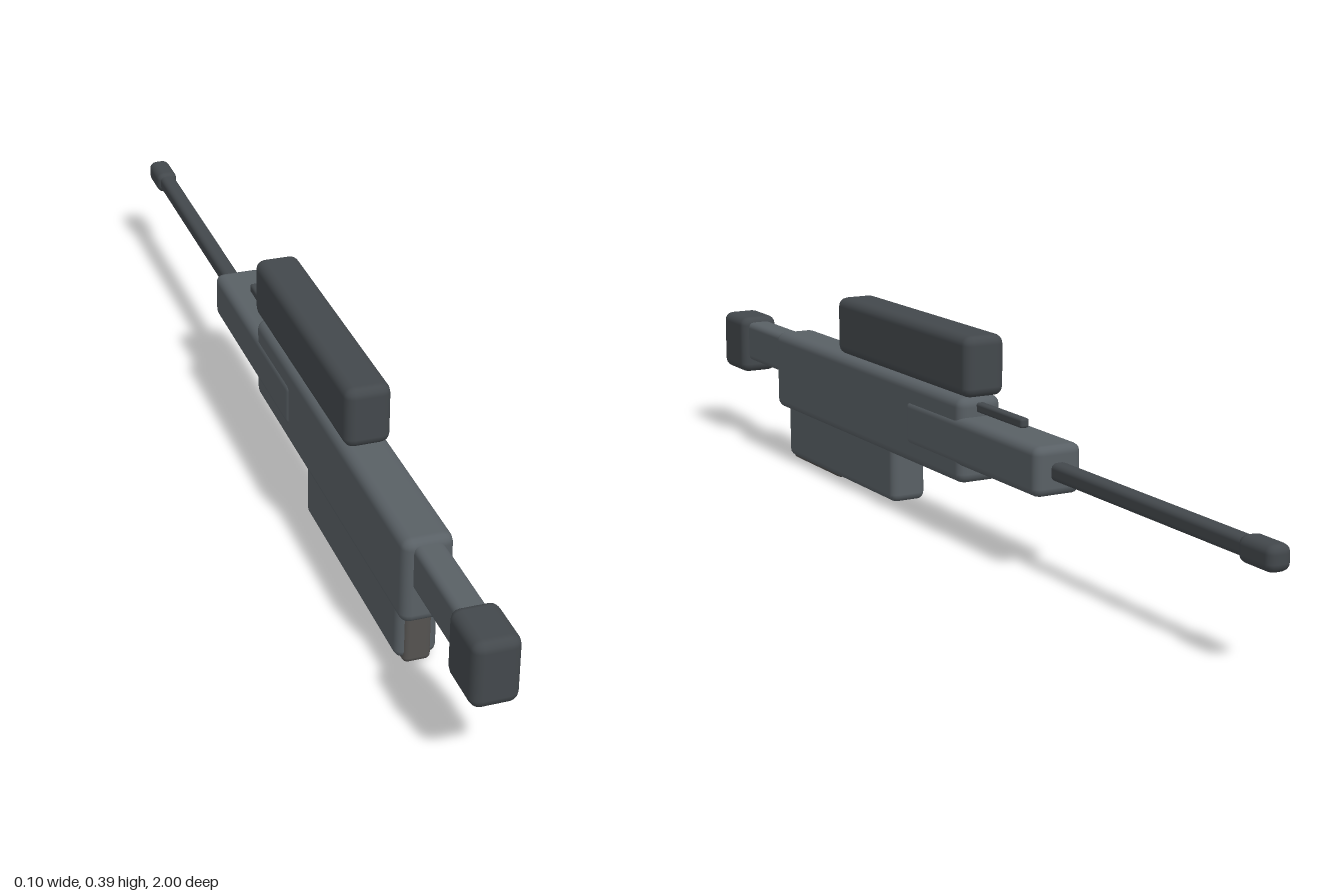
import * as THREE from 'three';
import { RoundedBoxGeometry } from 'three/addons/geometries/RoundedBoxGeometry.js';

const paint = (color) => new THREE.MeshStandardMaterial({ color });

export function createModel() {
  const model = new THREE.Group();
  const steel = paint(0x596065);
  const dark = paint(0x43484c);
  const brown = paint(0x545250);

  // Bevelled block given by half width and its y and z ranges
  function block(name, halfWidth, [y0, y1], [z0, z1], radius, material) {
    const geometry = new RoundedBoxGeometry(halfWidth * 2, y1 - y0, z1 - z0, 2, radius);
    const mesh = new THREE.Mesh(geometry, material);
    mesh.name = name;
    mesh.position.set(0, (y0 + y1) / 2, (z0 + z1) / 2);
    model.add(mesh);
  }

  // Main body and slimmer, slightly wider fore-end
  block('receiver', 0.045, [0.11, 0.272], [-0.097, 0.71], 0.018, steel);
  block('foreEnd', 0.048, [0.145, 0.236], [-0.37, 0.115], 0.016, steel);

  // Stock at the front end
  block('stockTube', 0.027, [0.178, 0.262], [0.68, 0.92], 0.012, steel);
  block('buttPad', 0.041, [0.15, 0.273], [0.888, 1.0], 0.018, dark);

  // Lower housing with the narrow grip set into it
  block('lowerHousing', 0.037, [0.01, 0.14], [0.185, 0.668], 0.015, steel);
  block('grip', 0.025, [0.002, 0.14], [0.45, 0.672], 0.01, brown);

  // Sight on its small mount
  block('sight', 0.042, [0.274, 0.389], [-0.115, 0.418], 0.018, dark);
  block('sightMount', 0.02, [0.25, 0.285], [0.16, 0.22], 0.005, dark);
  block('topRail', 0.009, [0.244, 0.262], [-0.255, 0], 0.005, dark);

  // Barrel and muzzle
  block('barrel', 0.016, [0.174, 0.206], [-0.93, -0.34], 0.01, dark);
  block('muzzle', 0.022, [0.167, 0.212], [-1.0, -0.912], 0.015, dark);

  return model;
}
